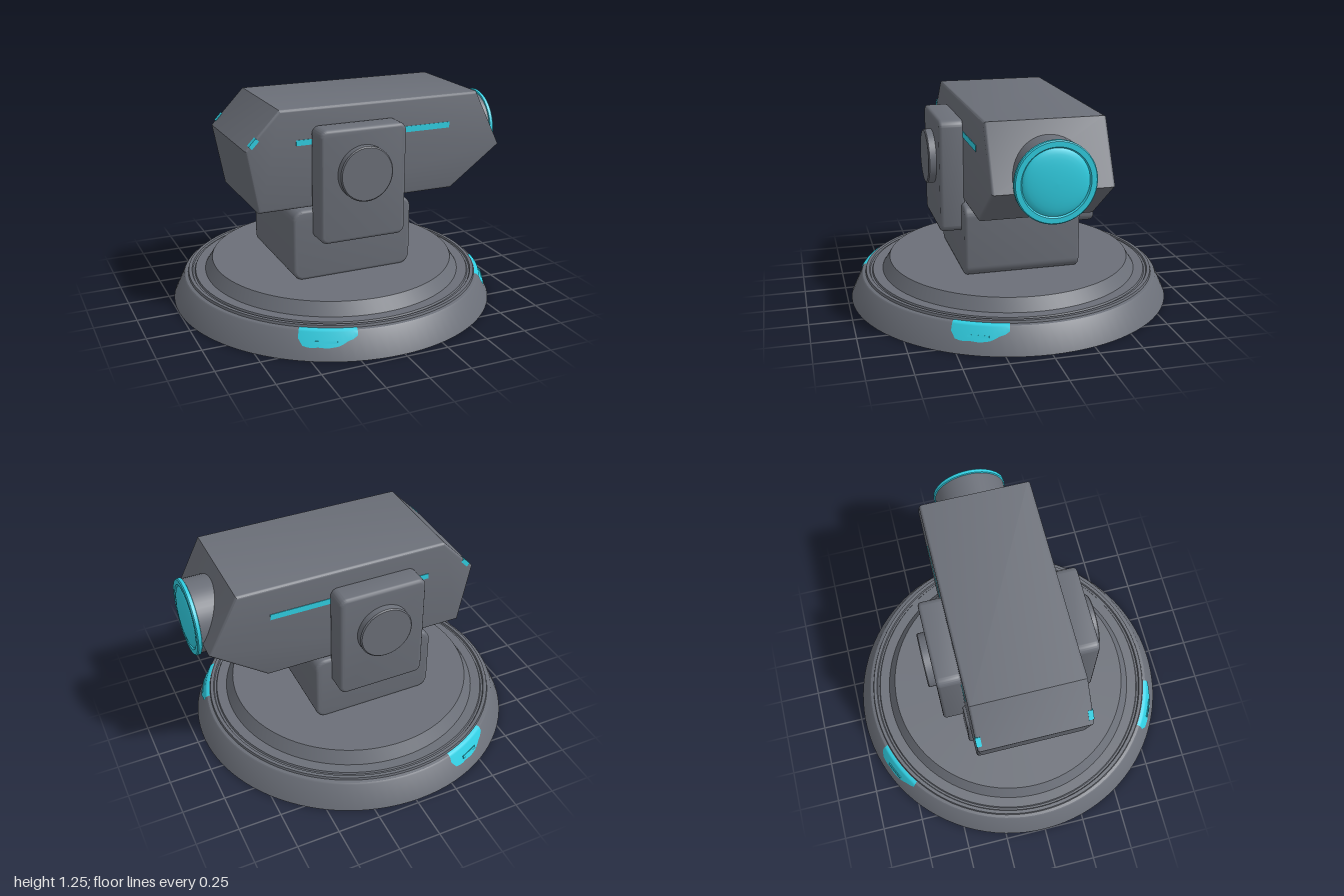
import * as THREE from 'three';
import { toCreasedNormals } from 'three/addons/utils/BufferGeometryUtils.js';

const CX = -0.022; // turntable axis
const rad = THREE.MathUtils.degToRad;

export function createModel() {
  const model = new THREE.Group();
  const grey = new THREE.MeshStandardMaterial({ name: 'gunmetal grey', color: 0x6b6f78 });
  const cyan = new THREE.MeshStandardMaterial({ name: 'glowing cyan', color: 0x30cfe3 });

  const add = (name, geometry, material, x = 0, y = 0, z = 0) => {
    const mesh = new THREE.Mesh(geometry, material);
    mesh.name = name;
    mesh.position.set(x, y, z);
    model.add(mesh);
    return mesh;
  };
  const lathe = (pts, seg = 72, start = 0, length = Math.PI * 2) =>
    new THREE.LatheGeometry(pts.map(p => new THREE.Vector2(...p)), seg, start, length);

  // Side-profile shape extruded across z with softened edges, centred on z = 0
  const slab = (shape, width, bevel) => {
    const g = new THREE.ExtrudeGeometry(shape, {
      depth: width - 2 * bevel, bevelEnabled: true, bevelSize: bevel, bevelThickness: bevel,
      bevelOffset: -bevel, bevelSegments: 3, curveSegments: 6,
    });
    g.translate(0, 0, bevel - width / 2);
    return toCreasedNormals(g, 0.6);
  };
  const roundedRect = (x0, y0, x1, y1, r) => {
    const s = new THREE.Shape();
    s.absarc(x1 - r, y0 + r, r, -Math.PI / 2, 0);
    s.absarc(x1 - r, y1 - r, r, 0, Math.PI / 2);
    s.absarc(x0 + r, y1 - r, r, Math.PI / 2, Math.PI);
    s.absarc(x0 + r, y0 + r, r, Math.PI, Math.PI * 1.5);
    s.closePath();
    return s;
  };

  // Stepped round base with a groove near the rim
  add('base', toCreasedNormals(lathe([
    [0, 0], [0.977, 0], [0.912, 0.143], [0.904, 0.15], [0.886, 0.154], [0.882, 0.168],
    [0.862, 0.168], [0.857, 0.158], [0.845, 0.158], [0.84, 0.168],
    [0.78, 0.168], [0.735, 0.24], [0, 0.24],
  ], 96), 0.5), grey, CX);

  // Glowing patches wrapped over the rim, with an uneven lower edge
  const edge = [0.11, 0.074, 0.068, 0.066, 0.07, 0.068, 0.066, 0.07, 0.074, 0.085, 0.1, 0.108, 0.125];
  [[66.5, 'left'], [-24, 'front'], [205.5, 'back']].forEach(([deg, side]) => {
    const n = edge.length - 1, span = rad(20);
    const g = lathe([[0.95, 0.07], [0.915, 0.144], [0.905, 0.153], [0.889, 0.157]], n, rad(deg) - span / 2, span);
    const p = g.attributes.position;
    for (let i = 0; i <= n; i++) {
      const y = edge[i], r = 0.98 - y * 0.45;
      const a = rad(deg) - span / 2 + span * i / n;
      p.setXYZ(i * 4, r * Math.sin(a), y, r * Math.cos(a));
    }
    g.computeVertexNormals();
    add(side + 'BasePatch', g, cyan, CX);

    // Narrow light bar in the patch
    const a = rad(deg - 0.5), r = 0.938;
    const bar = add(side + 'BaseLight', new THREE.BoxGeometry(0.12, 0.014, 0.008), cyan,
      CX + r * Math.sin(a), 0.095, r * Math.cos(a));
    bar.rotation.order = 'YXZ';
    bar.rotation.set(-0.42, a, 0);
  });

  // Pedestal block
  add('pedestal', slab(roundedRect(-0.4, 0.235, 0.345, 0.66, 0.065), 0.69, 0.018), grey);

  // Faceted head
  const profile = new THREE.Shape([
    [-0.595, 0.672], [0.625, 0.672], [0.948, 0.91], [0.775, 1.25], [-0.465, 1.25], [-0.665, 1.04],
  ].map(p => new THREE.Vector2(...p)));
  add('head', slab(profile, 0.66, 0.016), grey);

  // Yoke arms, pivots, light strips and rear corner lights on both sides
  const arm = slab(roundedRect(-0.28, 0.485, 0.245, 1.147, 0.045), 0.145, 0.02);
  const pivot = toCreasedNormals(lathe([[0, 0], [0.16, 0], [0.16, 0.056], [0.153, 0.062], [0, 0.062]], 48), 0.5);
  for (const s of [1, -1]) {
    const side = s > 0 ? 'front' : 'back';
    add(side + 'Arm', arm, grey, 0, 0, s * 0.394);
    add(side + 'Pivot', pivot, grey, -0.018, 0.886, s * 0.45).rotation.x = s * Math.PI / 2;
    add(side + 'LightStrip', new THREE.BoxGeometry(0.85, 0.035, 0.008), cyan, 0.17, 1.067, s * 0.329);
    add(side + 'LightStripEnd', new THREE.BoxGeometry(0.1, 0.032, 0.008), cyan, -0.32, 1.057, s * 0.329);
    add(side + 'CornerLight', new THREE.BoxGeometry(0.06, 0.026, 0.03), cyan,
      -0.614, 1.078, s * 0.316).rotation.z = Math.atan2(0.21, 0.2);
  }

  // Lens barrel, glowing rim and domed lens, turned to face +x
  const turn = mesh => { mesh.rotation.z = -Math.PI / 2; };
  turn(add('lensBarrel', new THREE.CylinderGeometry(0.214, 0.214, 0.3, 48), grey, 0.81, 0.962));
  turn(add('lensRim', toCreasedNormals(lathe([
    [0.214, 0.95], [0.221, 0.953], [0.221, 0.972], [0.215, 0.978], [0.187, 0.978], [0.18, 0.968],
  ], 48), 0.6), cyan, 0, 0.962));
  const dome = [];
  for (let i = 0; i <= 8; i++) dome.push([0.181 * Math.cos(i * Math.PI / 16), 0.967 + 0.033 * Math.sin(i * Math.PI / 16)]);
  dome[8][0] = 0;
  turn(add('lens', lathe(dome, 48), cyan, 0, 0.962));

  return model;
}
